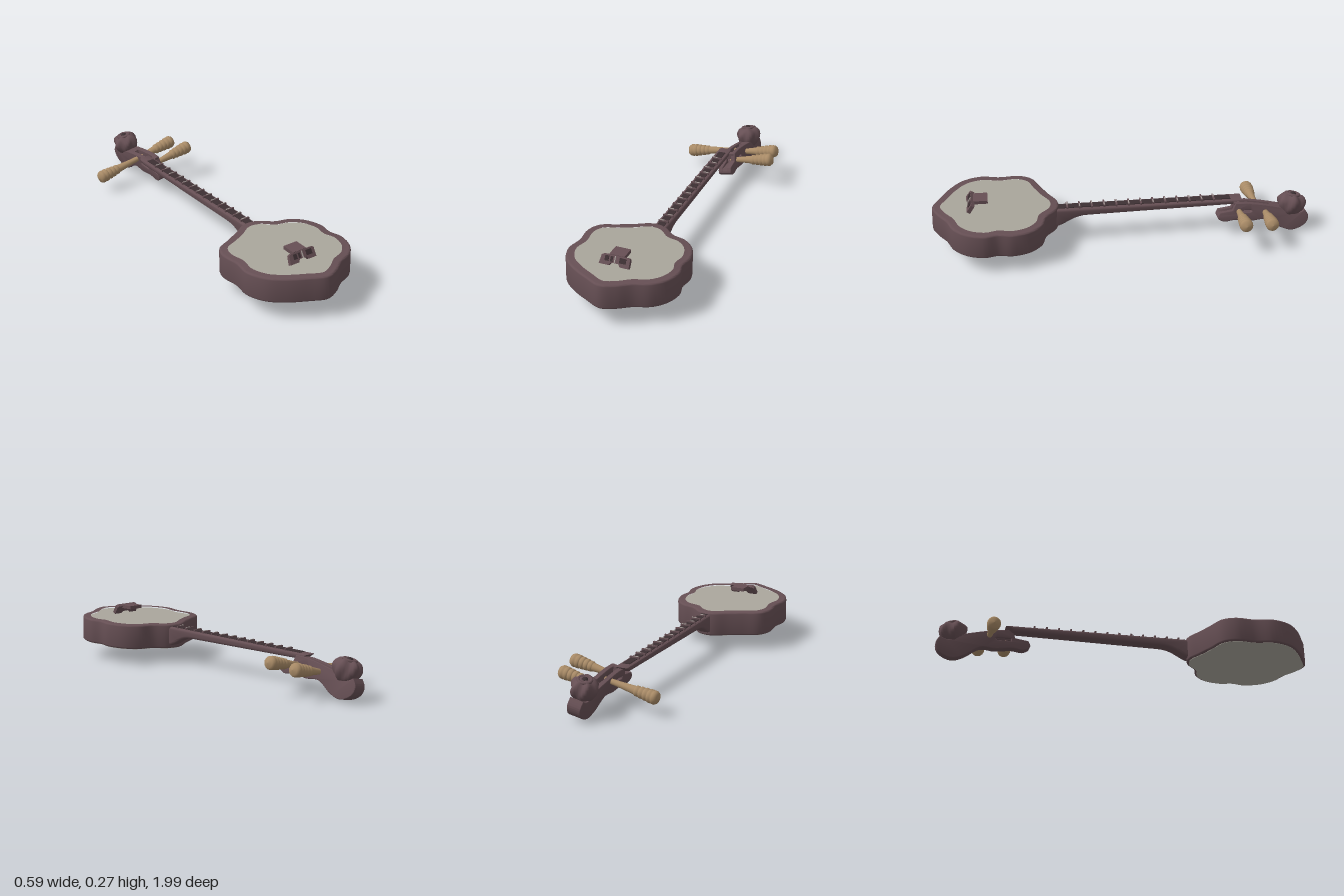
import * as THREE from 'three';
import { toCreasedNormals } from 'three/addons/utils/BufferGeometryUtils.js';

const wood = new THREE.MeshStandardMaterial({ name: 'dark rosewood', color: 0x664f54 });
const darkWood = new THREE.MeshStandardMaterial({ name: 'shadow wood', color: 0x3d3033 });
const skin = new THREE.MeshStandardMaterial({ name: 'grey skin', color: 0xaaa69c });
const pegWood = new THREE.MeshStandardMaterial({ name: 'tan peg wood', color: 0xa98b67 });
const bone = new THREE.MeshStandardMaterial({ name: 'pale bone', color: 0xa59c98 });

function add(parent, name, geometry, material, x = 0, y = 0, z = 0) {
  const mesh = new THREE.Mesh(geometry, material);
  mesh.name = name;
  mesh.position.set(x, y, z);
  parent.add(mesh);
  return mesh;
}

const vecs = (pts) => pts.map(([a, b]) => new THREE.Vector2(a, b));

// Extrudes a side profile of [-z, y] points across x, centred on x = 0
function sideExtrude(shape, width, bevel) {
  const geometry = new THREE.ExtrudeGeometry(shape, {
    depth: width - 2 * bevel, bevelEnabled: bevel > 0, bevelThickness: bevel,
    bevelSize: bevel, bevelOffset: -bevel, bevelSegments: 3, curveSegments: 8,
  });
  geometry.translate(0, 0, bevel - width / 2);
  geometry.rotateY(Math.PI / 2);
  return toCreasedNormals(geometry, 0.6);
}

// Plum-blossom outline of the sound box, as [x, z]
const outline = [
  [0.01, 0.335], [0.06, 0.35], [0.125, 0.405], [0.2, 0.43], [0.26, 0.49], [0.29, 0.585],
  [0.281, 0.66], [0.296, 0.73], [0.272, 0.82], [0.215, 0.885], [0.135, 0.92], [0.07, 0.965],
  [-0.005, 0.993], [-0.09, 0.955], [-0.185, 0.9], [-0.26, 0.83], [-0.297, 0.73], [-0.284, 0.635],
  [-0.292, 0.53], [-0.26, 0.46], [-0.18, 0.42], [-0.1, 0.38], [-0.035, 0.342],
];
const bodyZ = 0.66;

// Outline moved inwards by a constant distance, around the body centre
function bodyPoints(inset) {
  const curve = new THREE.CatmullRomCurve3(
    outline.map(([x, z]) => new THREE.Vector3(x, bodyZ - z, 0)), true);
  return curve.getPoints(110).slice(0, -1).map((p) => {
    const k = 1 - inset / p.length();
    return new THREE.Vector2(p.x * k, p.y * k);
  });
}

function flatExtrude(shape, depth, bevel) {
  const geometry = new THREE.ExtrudeGeometry(shape, {
    depth: depth - 2 * bevel, bevelEnabled: bevel > 0, bevelThickness: bevel,
    bevelSize: bevel, bevelOffset: -bevel, bevelSegments: 3,
  });
  geometry.translate(0, 0, bevel - depth / 2);
  geometry.rotateX(-Math.PI / 2);
  return toCreasedNormals(geometry, 0.6);
}

function makeBody() {
  const body = new THREE.Group();
  body.name = 'soundBox';
  body.position.set(0, 0.165, bodyZ);
  body.rotation.x = -0.032;
  const rim = new THREE.Shape(bodyPoints(0));
  rim.holes.push(new THREE.Path(bodyPoints(0.032)));
  add(body, 'rim', flatExtrude(rim, 0.132, 0.01), wood);
  add(body, 'topSkin', flatExtrude(new THREE.Shape(bodyPoints(0.03)), 0.008, 0), skin, 0, 0.054, 0);
  add(body, 'backSkin', flatExtrude(new THREE.Shape(bodyPoints(0.012)), 0.008, 0), skin, 0, -0.064, 0);
  return body;
}

function makeBridge() {
  const bridge = new THREE.Group();
  bridge.name = 'bridge';
  bridge.position.set(-0.012, 0, 0);
  // Leaning front plate with spread feet
  const plate = new THREE.Shape(vecs([[-0.08, 0], [-0.073, 0.045], [-0.06, 0.052], [0.068, 0.052],
    [0.076, 0.045], [0.076, 0], [0.03, 0], [0.02, 0.014], [-0.02, 0.014], [-0.03, 0]]));
  const front = add(bridge, 'bridgePlate',
    new THREE.ExtrudeGeometry(plate, { depth: 0.02, bevelEnabled: false }), wood, 0, 0.228, 0.795);
  front.rotation.x = -0.55;
  // Dark carved recesses on the plate
  for (const [x, w] of [[-0.043, 0.02], [-0.018, 0.012], [0.04, 0.034]]) {
    add(front, 'bridgeCarving', new THREE.BoxGeometry(w, 0.026, 0.004), darkWood, x, 0.032, 0.021);
  }
  add(front, 'bridgeInlay', new THREE.BoxGeometry(0.005, 0.034, 0.004), bone, 0, 0.032, 0.022);
  add(bridge, 'bridgeShelf', new THREE.BoxGeometry(0.08, 0.018, 0.075), wood, 0, 0.27, 0.738);
  return bridge;
}

const neckX = (z) => 0.008 + (0.33 - z) * 0.018;
const neckTop = (z) => 0.203 + z * 0.02;

function makeNeck() {
  const neck = new THREE.Group();
  neck.name = 'neck';
  neck.position.x = neckX(0);
  neck.rotation.y = 0.018;
  const shape = new THREE.Shape();
  shape.moveTo(-0.37, 0.21);
  shape.lineTo(-0.37, 0.105);
  shape.lineTo(-0.335, 0.108);
  shape.bezierCurveTo(-0.28, 0.13, -0.26, 0.162, -0.18, 0.162);
  shape.lineTo(0.6, 0.162);
  shape.lineTo(0.64, 0.19);
  add(neck, 'neckShaft', sideExtrude(shape, 0.07, 0.014), wood);
  const board = add(neck, 'fingerboard', new THREE.BoxGeometry(0.038, 0.004, 0.92), darkWood,
    0, neckTop(-0.12) + 0.001, -0.12);
  board.rotation.x = -0.02;
  // Frets with a short pale inlay
  for (let i = 0; i < 13; i++) {
    const z = 0.29 - i * 0.065;
    add(neck, 'fret', new THREE.BoxGeometry(0.054, 0.012, 0.009), wood, 0, neckTop(z) + 0.004, z);
    add(neck, 'fretInlay', new THREE.BoxGeometry(0.026, 0.004, 0.005), bone,
      i % 2 ? 0.01 : -0.008, neckTop(z) + 0.011, z);
  }
  return neck;
}

// Turned peg along +y: tapered shaft, ringed grip, rounded tip
function pegGeometry(length) {
  const g = 0.13;
  const s = length - g;
  const pts = [[0.013, 0], [0.016, s * 0.5], [0.022, s]];
  for (let i = 0; i < 4; i++) {
    const y = s + i * 0.024;
    const r = 0.027 + i * 0.0025;
    pts.push([r - 0.004, y + 0.001], [r, y + 0.006], [r, y + 0.018], [r - 0.004, y + 0.023]);
  }
  pts.push([0.035, length - 0.03], [0.034, length - 0.018], [0.026, length - 0.006], [0.0001, length]);
  return new THREE.LatheGeometry(vecs(pts), 20);
}

// Carved bud: a flared ball with petal ridges and a hollowed top
function budGeometry() {
  const geometry = new THREE.SphereGeometry(1, 32, 20);
  const p = geometry.attributes.position;
  for (let i = 0; i < p.count; i++) {
    const x = p.getX(i), y = p.getY(i), z = p.getZ(i);
    const a = Math.atan2(z, x);
    const r = Math.hypot(x, z);
    const petal = 1 + 0.1 * Math.cos(6 * a + y * 2) * r;
    const flare = 0.9 + 0.14 * y;
    const crown = y > 0 ? 0.3 * r * r * Math.cos(5 * a) * y - 0.15 * (1 - r) : 0;
    p.setXYZ(i, x * petal * flare * 0.071, (y + crown) * 0.066, z * petal * flare * 0.08);
  }
  geometry.computeVertexNormals();
  return geometry;
}

function makeHead() {
  const head = new THREE.Group();
  head.name = 'pegHead';
  head.position.set(0.042, 0.15, 0);
  head.rotation.z = 0.19;

  // Cheeks of the peg box, running down into the curled end
  const bottom = [[0.505, -0.045], [0.54, -0.066], [0.6, -0.06], [0.685, -0.07], [0.765, -0.068],
    [0.845, -0.118], [0.91, -0.137], [0.975, -0.11], [0.995, -0.065], [0.975, -0.025]];
  const cheek = new THREE.Shape();
  cheek.moveTo(0.515, -0.015);
  cheek.splineThru(vecs(bottom));
  cheek.splineThru(vecs([[0.93, -0.04], [0.86, -0.008], [0.75, 0.018], [0.66, 0.033]]));
  cheek.lineTo(0.6, 0.034);
  cheek.lineTo(0.585, -0.005);
  const slit = new THREE.Path(vecs([[0.605, -0.022], [0.68, -0.022], [0.69, -0.014], [0.68, -0.008], [0.605, -0.008]]));
  cheek.holes.push(slit);
  for (const s of [-1, 1]) {
    add(head, 'pegBoxCheek', sideExtrude(cheek, 0.025, 0.004), wood, s * 0.025, 0, 0);
  }

  // Floor and solid end between the cheeks
  const floor = new THREE.Shape();
  floor.moveTo(0.515, -0.02);
  floor.splineThru(vecs(bottom));
  floor.splineThru(vecs([[0.93, -0.04], [0.86, -0.008], [0.79, 0.005]]));
  floor.lineTo(0.78, -0.026);
  add(head, 'pegBoxFloor', sideExtrude(floor, 0.034, 0), wood);
  add(head, 'nut', new THREE.BoxGeometry(0.06, 0.03, 0.03), wood, 0, 0.018, -0.61);

  // One peg on the right, two on the left
  for (const [side, y, z, length] of [[1, -0.012, -0.618, 0.255], [1, -0.025, -0.76, 0.232], [-1, 0, -0.72, 0.3]]) {
    const peg = add(head, 'tuningPeg', pegGeometry(length), pegWood, 0, y, z);
    peg.rotation.z = -side * Math.PI / 2;
  }

  // Carved bud with curled rings on top
  const bud = add(head, 'carvedBud', budGeometry(), wood, 0.005, 0.005, -0.905);
  bud.rotation.x = -0.2;
  const ring = add(bud, 'budCurl', new THREE.TorusGeometry(0.032, 0.008, 8, 20), wood, 0, 0.052, 0);
  ring.rotation.x = Math.PI / 2;
  add(bud, 'budHeart', new THREE.SphereGeometry(0.018, 12, 8), darkWood, 0, 0.048, 0);
  return head;
}

export function createModel() {
  const model = new THREE.Group();
  model.name = 'threeStringLute';
  model.add(makeBody(), makeBridge(), makeNeck(), makeHead());
  return model;
}
